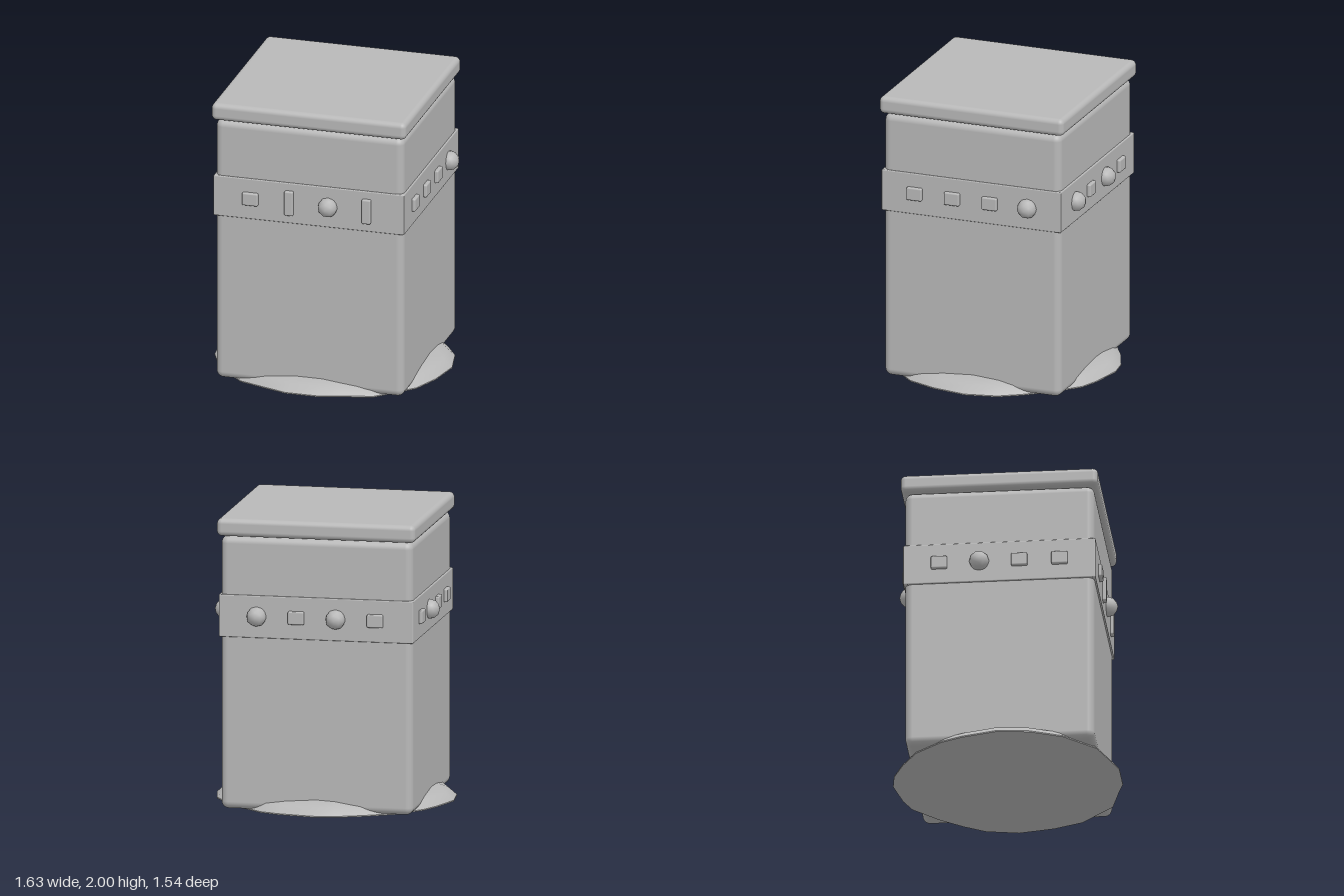
import * as THREE from 'three';
import { RoundedBoxGeometry } from 'three/addons/geometries/RoundedBoxGeometry.js';

export function createModel() {
  const model = new THREE.Group();
  model.name = 'pillar';
  const stone = new THREE.MeshStandardMaterial({ color: 0xb8b8b8 });
  stone.name = 'grey stone';

  const add = (name, geometry, x, y, z, parent = model) => {
    const mesh = new THREE.Mesh(geometry, stone);
    mesh.name = name;
    mesh.position.set(x, y, z);
    parent.add(mesh);
    return mesh;
  };
  const block = (name, w, h, d, r, y, z) =>
    add(name, new RoundedBoxGeometry(w, h, d, 4, r), 0, y, z);

  // Column, lid and band
  block('column', 1.32, 1.87, 1.28, 0.05, 0.943, 0.008);
  block('lid', 1.366, 0.12, 1.335, 0.035, 1.94, 0.007);
  block('band', 1.34, 0.29, 1.302, 0.008, 1.335, 0.008);

  // Studs along each side of the band; each side is laid out facing +z, then turned
  const smoothStud = () => {
    const g = new THREE.IcosahedronGeometry(0.068, 1);
    const p = g.attributes.position;
    const n = new Float32Array(p.count * 3);
    const v = new THREE.Vector3();
    for (let i = 0; i < p.count; i++) v.fromBufferAttribute(p, i).normalize().toArray(n, i * 3);
    g.setAttribute('normal', new THREE.BufferAttribute(n, 3));
    return g;
  };
  const makers = {
    square: () => new RoundedBoxGeometry(0.11, 0.09, 0.05, 2, 0.01),
    upright: () => new RoundedBoxGeometry(0.062, 0.175, 0.05, 2, 0.01),
    round: smoothStud,
  };
  const sides = [
    ['front', 0, 0.659, ['square', 'upright', 'round', 'upright']],
    ['left', Math.PI / 2, 0.67, ['square', 'square', 'square', 'round']],
    ['back', Math.PI, 0.643, ['round', 'square', 'round', 'square']],
    ['right', -Math.PI / 2, 0.67, ['square', 'round', 'square', 'square']],
  ];
  for (const [side, turn, out, kinds] of sides) {
    const row = new THREE.Group();
    row.name = side + 'Studs';
    row.rotation.y = turn;
    // the left and right rows sit slightly forward, like the column
    if (side === 'left' || side === 'right') row.position.z = 0.008;
    kinds.forEach((kind, i) => {
      const z = kind === 'round' ? out + 0.008 : out;
      add(kind + 'Stud', makers[kind](), -0.408 + i * 0.272, 1.338, z, row);
    });
    model.add(row);
  }

  // Uneven mound at the foot: one outline, shrunk and lifted ring by ring
  const outline = [
    [0.815, 0], [0.77, 0.24], [0.69, 0.44], [0.46, 0.67], [0.24, 0.73], [0.11, 0.77],
    [-0.13, 0.77], [-0.28, 0.72], [-0.48, 0.65], [-0.69, 0.44], [-0.79, 0.22], [-0.815, 0],
    [-0.745, -0.24], [-0.68, -0.38], [-0.52, -0.57], [-0.33, -0.68], [-0.15, -0.755],
    [0, -0.775], [0.24, -0.73], [0.375, -0.68], [0.55, -0.52], [0.68, -0.36], [0.77, -0.22],
  ];
  const rings = [[0, 0], [1, 0], [1, 0.008], [0.93, 0.058], [0.81, 0.095], [0, 0.1]];
  const n = outline.length;
  const positions = [];
  const index = [];
  // the underside and the top have separate points so that the rim stays sharp
  for (const [s, y] of rings) for (const [x, z] of outline) positions.push(x * s, y, z * s);
  rings.slice(1).forEach((_, r) => {
    if (r === 1) return;
    for (let i = 0; i < n; i++) {
      const j = (i + 1) % n;
      const a = r * n + i, b = r * n + j, c = a + n, d = b + n;
      index.push(a, c, b, b, c, d);
    }
  });
  // thin rim joining underside and top
  const rim = positions.length / 3;
  for (const r of [1, 2]) positions.push(...positions.slice(r * n * 3, (r + 1) * n * 3));
  for (let i = 0; i < n; i++) {
    const j = (i + 1) % n;
    index.push(rim + i, rim + n + i, rim + j, rim + j, rim + n + i, rim + n + j);
  }
  const mound = new THREE.BufferGeometry();
  mound.setAttribute('position', new THREE.Float32BufferAttribute(positions, 3));
  mound.setIndex(index);
  mound.computeVertexNormals();
  add('footMound', mound, 0, 0, 0);

  return model;
}
